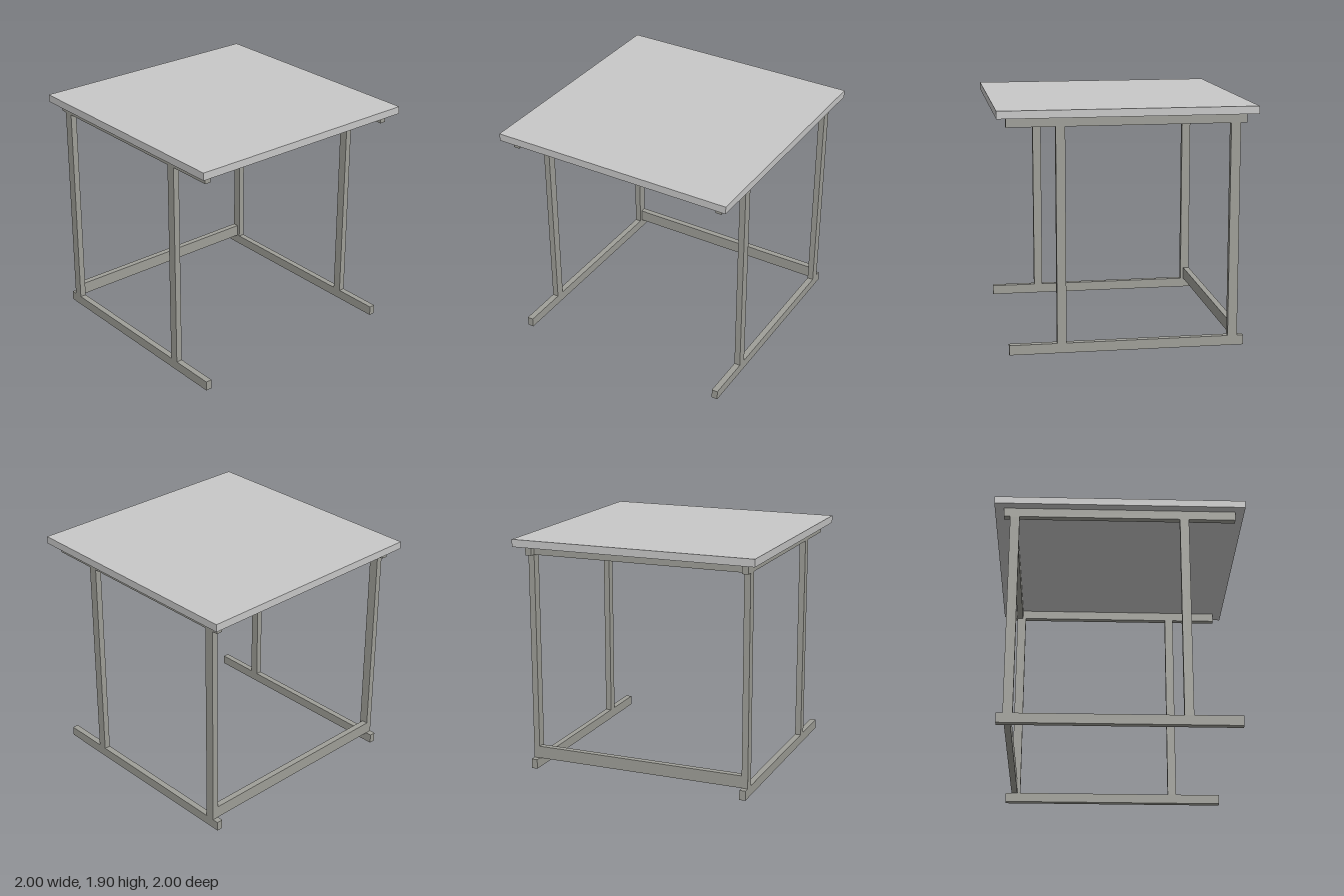
import * as THREE from 'three';

export function createModel() {
  const model = new THREE.Group();
  model.name = 'table';
  const topGrey = new THREE.MeshStandardMaterial({ color: 0xc8c8c8 });
  topGrey.name = 'light grey top';
  const frameGrey = new THREE.MeshStandardMaterial({ color: 0x9f9f98 });
  frameGrey.name = 'warm grey metal';

  // box given by its minimum and maximum on each axis
  function bar(name, material, [x0, x1], [y0, y1], [z0, z1]) {
    const mesh = new THREE.Mesh(new THREE.BoxGeometry(x1 - x0, y1 - y0, z1 - z0), material);
    mesh.position.set((x0 + x1) / 2, (y0 + y1) / 2, (z0 + z1) / 2);
    mesh.name = name;
    model.add(mesh);
  }

  bar('tableTop', topGrey, [-1, 1], [1.845, 1.905], [-1, 1]);

  // side frames: foot, top rail and two legs
  for (const [side, x] of [['left', [0.875, 0.925]], ['right', [-0.925, -0.875]]]) {
    bar(side + 'Foot', frameGrey, x, [0, 0.078], [-0.925, 0.925]);
    bar(side + 'TopRail', frameGrey, x, [1.77, 1.845], [-0.925, 0.925]);
    bar(side + 'FrontLeg', frameGrey, x, [0.078, 1.77], [0.48, 0.552]);
    bar(side + 'BackLeg', frameGrey, x, [0.078, 1.77], [-0.875, -0.8]);
  }

  // cross bars joining the side frames at the back
  bar('lowerCrossBar', frameGrey, [-0.875, 0.875], [0.078, 0.178], [-0.875, -0.825]);
  bar('upperCrossBar', frameGrey, [-0.875, 0.875], [1.77, 1.845], [-0.875, -0.825]);

  return model;
}
